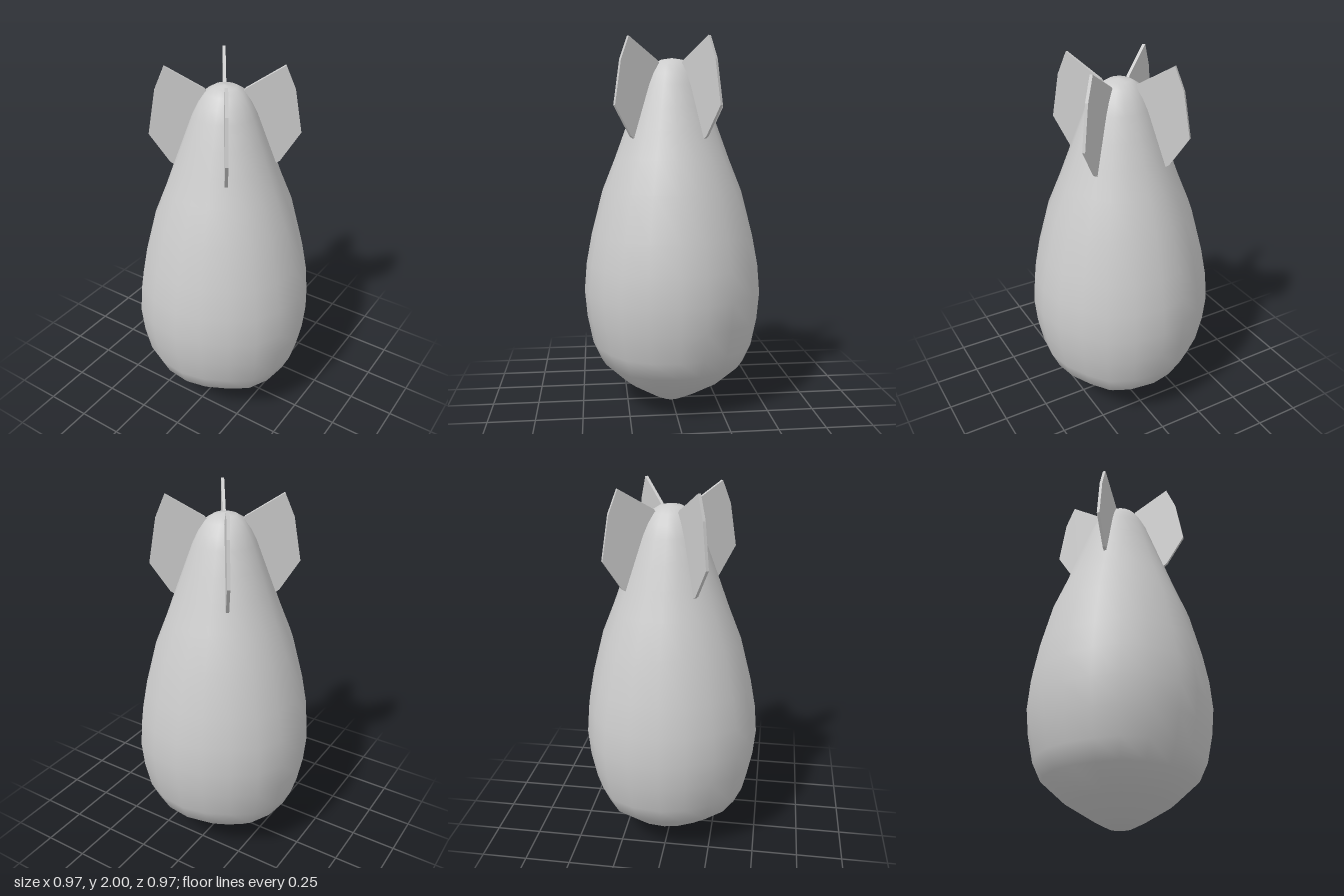
import * as THREE from 'three';

const material = new THREE.MeshStandardMaterial({ color: 0xcccccc });

// Teardrop casing: a 20-sided lathe whose sides are slightly uneven, repeating every quarter turn
function makeBody() {
  const profile = [
    [0, 0.005], [0.06, 0.015], [0.13, 0.05], [0.27, 0.135], [0.395, 0.25], [0.44, 0.35],
    [0.47, 0.5], [0.483, 0.645], [0.47, 0.8], [0.44, 0.96], [0.378, 1.2], [0.31, 1.37],
    [0.255, 1.52], [0.21, 1.64], [0.165, 1.76], [0.135, 1.82], [0.1, 1.87], [0.06, 1.895], [0, 1.905],
  ].map(([r, y]) => new THREE.Vector2(r, y));
  const geometry = new THREE.LatheGeometry(profile, 20);
  const angles = [0, 19.5, 37, 54, 73];
  const scales = [1, 1.016, 1.03, 0.983, 0.983];
  const pos = geometry.attributes.position;
  for (let i = 0; i < pos.count; i++) {
    const side = Math.floor(i / profile.length);
    const k = (30 - side) % 20;
    const turn = THREE.MathUtils.degToRad(angles[k % 5] + 90 * Math.floor(k / 5));
    const point = profile[i % profile.length];
    const r = point.x * scales[k % 5];
    pos.setXYZ(i, r * Math.sin(turn), point.y, -r * Math.cos(turn));
  }
  const body = new THREE.Mesh(geometry, material);
  body.name = 'body';
  return body;
}

// Flat tail fin, drawn in a plane through the axis with its root sunk into the body
function makeFinGeometry() {
  const thickness = 0.016;
  const outline = [
    [0.07, 1.84], [0.2, 1.5], [0.25, 1.47], [0.283, 1.493], [0.385, 1.65], [0.345, 1.88], [0.294, 2.0], [0.1, 1.885],
  ].map(([r, y]) => new THREE.Vector2(r, y));
  const geometry = new THREE.ExtrudeGeometry(new THREE.Shape(outline), { depth: thickness, bevelEnabled: false });
  return geometry.translate(0, 0, -thickness / 2);
}

export function createModel() {
  const model = new THREE.Group();
  model.name = 'finnedBomb';
  model.add(makeBody());

  // Four fins around the tail
  const finGeometry = makeFinGeometry();
  for (let i = 0; i < 4; i++) {
    const fin = new THREE.Mesh(finGeometry, material);
    fin.name = `tailFin${i + 1}`;
    fin.rotation.y = THREE.MathUtils.degToRad(34.8 + 90 * i);
    model.add(fin);
  }
  return model;
}
